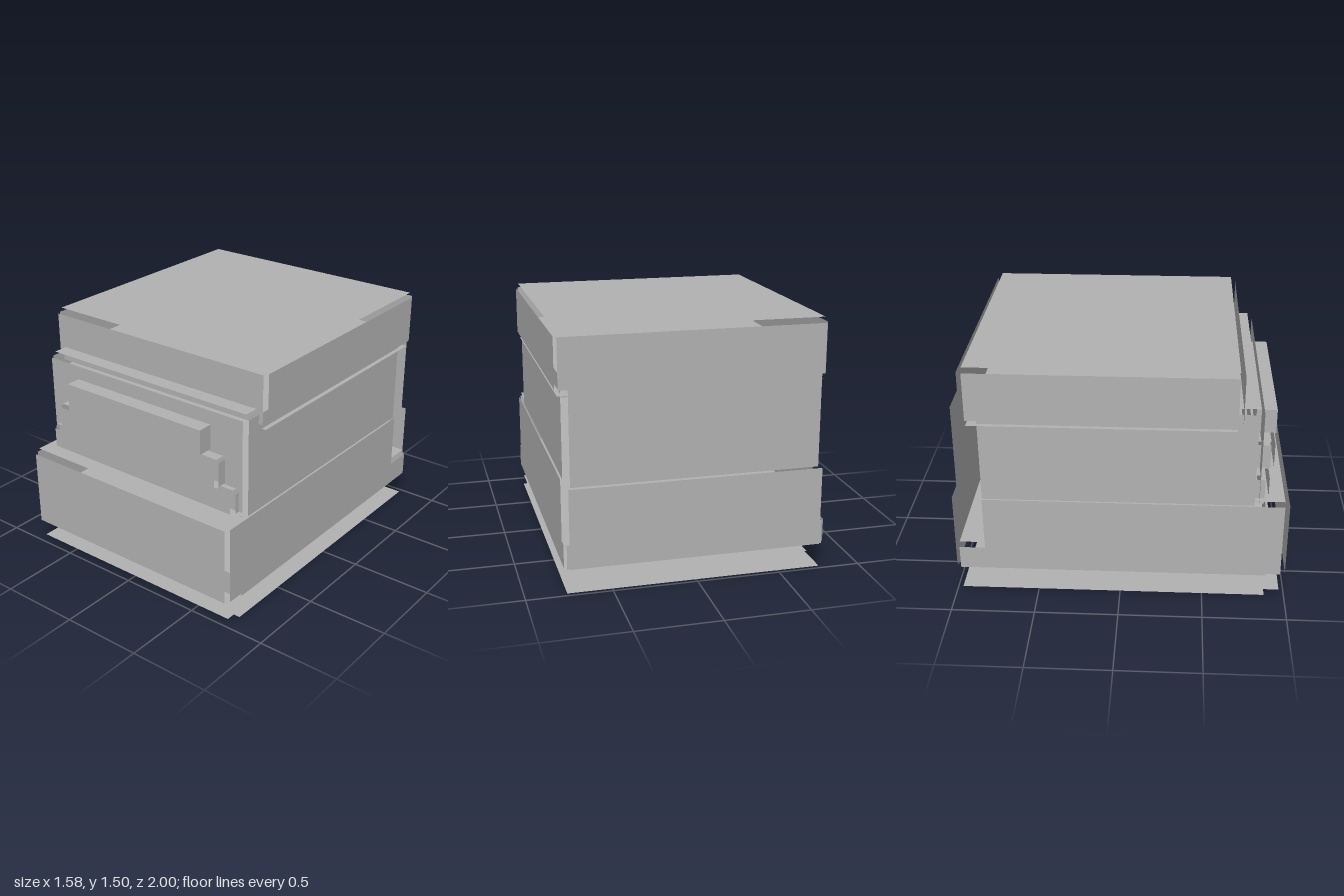
import * as THREE from 'three';

export function createModel() {
  const model = new THREE.Group();
  const grey = new THREE.MeshStandardMaterial({ color: 0xb2b2b2, side: THREE.DoubleSide });
  grey.name = 'plain grey';

  function panel(group, name, w, h, position, rotation) {
    const mesh = new THREE.Mesh(new THREE.PlaneGeometry(w, h), grey);
    mesh.name = name;
    mesh.position.set(...position);
    mesh.rotation.set(...rotation);
    group.add(mesh);
  }

  // A box of six separate panels: x, y, z give the panel extents,
  // while side, bottom, top, back, front give where each panel stands.
  function shell(name, { x, y: [y0, y1], z: [z0, z1], side, bottom, top, back, front }) {
    const group = new THREE.Group();
    group.name = name;
    const w = 2 * x, h = y1 - y0, d = z1 - z0;
    const cy = (y0 + y1) / 2, cz = (z0 + z1) / 2, q = Math.PI / 2;
    panel(group, 'frontPanel', w, h, [0, cy, front], [0, 0, 0]);
    panel(group, 'backPanel', w, h, [0, cy, back], [0, Math.PI, 0]);
    panel(group, 'topPanel', w, d, [0, top, cz], [-q, 0, 0]);
    panel(group, 'bottomPanel', w, d, [0, bottom, cz], [q, 0, 0]);
    for (const s of [-1, 1]) {
      panel(group, s > 0 ? 'leftPanel' : 'rightPanel', d, h, [s * side, cy, cz], [0, s * q, 0]);
    }
    model.add(group);
  }

  // Main body, from the lid down to the plinth
  shell('lid', { x: 0.775, y: [1.17, 1.465], z: [-0.88, 0.67],
    side: 0.79, bottom: 1.13, top: 1.495, back: -0.91, front: 0.7 });
  shell('body', { x: 0.73, y: [0.63, 1.225], z: [-0.82, 0.79],
    side: 0.748, bottom: 0.6, top: 1.255, back: -0.97, front: 0.82 });
  shell('base', { x: 0.745, y: [0.155, 0.63], z: [-0.82, 0.97],
    side: 0.76, bottom: 0.032, top: 0.658, back: -1, front: 1 });
  shell('plinth', { x: 0.76, y: [0.155, 0.3], z: [-0.972, 0.88],
    side: 0.775, bottom: 0, top: 0.33, back: -0.99, front: 0.91 });

  // Stepped ledges on the front, narrower and deeper towards the top
  shell('lowerLedge', { x: 0.685, y: [0.63, 0.78], z: [0.79, 0.85],
    side: 0.705, bottom: 0.61, top: 0.8, back: 0.77, front: 0.875 });
  shell('middleLedge', { x: 0.595, y: [0.81, 0.96], z: [0.79, 0.88],
    side: 0.61, bottom: 0.795, top: 0.975, back: 0.78, front: 0.903 });
  shell('upperLedge', { x: 0.507, y: [0.99, 1.14], z: [0.79, 0.912],
    side: 0.507, bottom: 0.99, top: 1.14, back: 0.79, front: 0.912 });

  return model;
}
